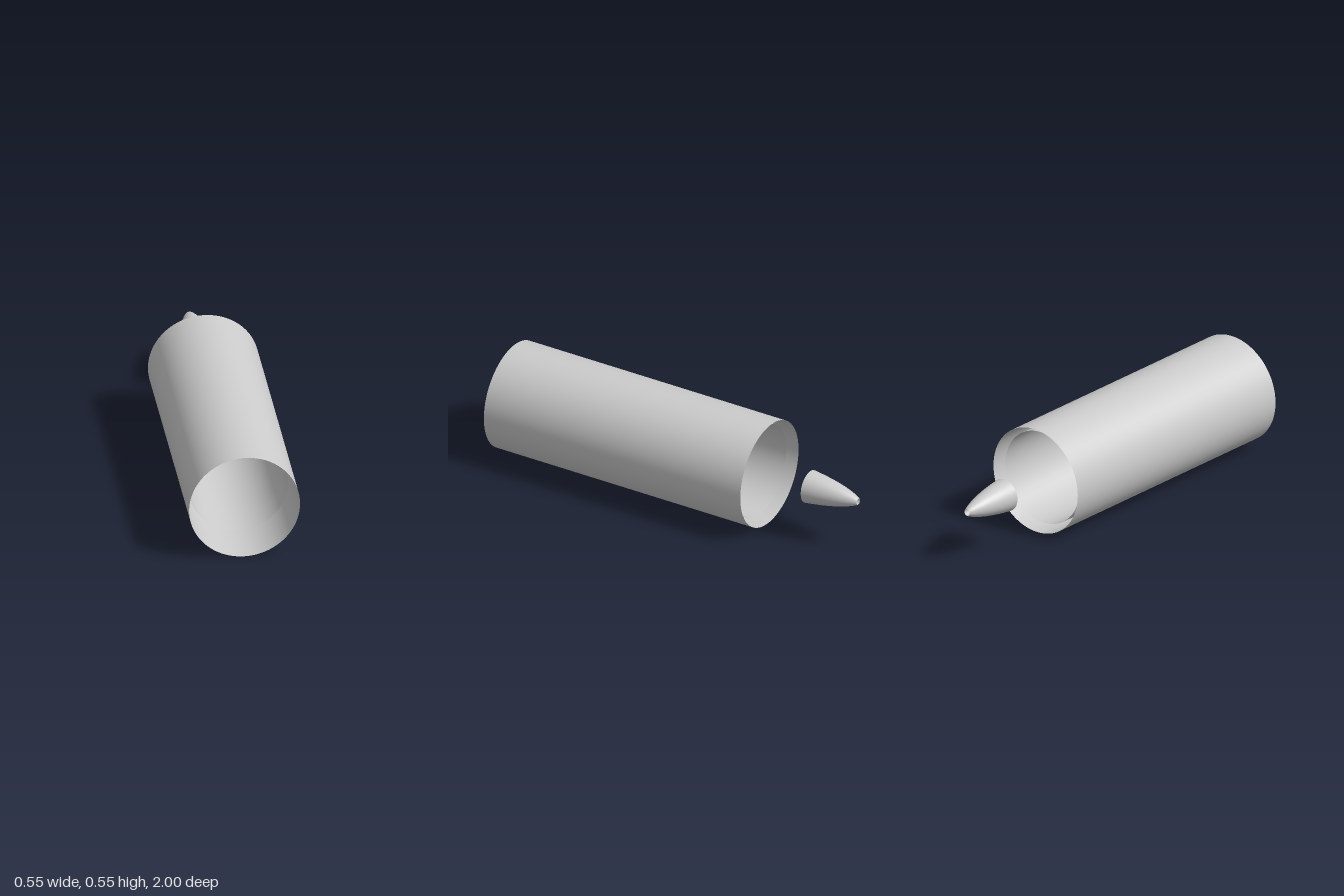
import * as THREE from 'three';

const AXIS_Y = 0.277;
const material = new THREE.MeshStandardMaterial({ color: 0xcccccc, side: THREE.DoubleSide });

// Thin shell turned about the z axis from [radius, z] points
function shell(name, points, segments = 96) {
  // Lathe's y axis is turned onto +z
  const geometry = new THREE.LatheGeometry(points.map(([r, z]) => new THREE.Vector2(r, z)), segments);
  geometry.rotateX(Math.PI / 2);
  const mesh = new THREE.Mesh(geometry, material);
  mesh.name = name;
  mesh.position.y = AXIS_Y;
  return mesh;
}

// Straight open tube between two z positions
const tube = (name, radius, back, front, segments) =>
  shell(name, [[radius, back], [radius, front]], segments);

export function createModel() {
  const model = new THREE.Group();
  model.name = 'ductedEngine';

  // Outer casing and the nested liners inside it
  model.add(tube('outerCasing', 0.277, -0.485, 1));
  model.add(tube('frontLiner', 0.248, 0.62, 0.78));
  model.add(tube('innerDuct', 0.243, -0.435, 0.64));

  // Hollow tail cone with a rounded, bullet-like profile
  const profile = new THREE.SplineCurve([
    [0.017, -1], [0.025, -0.985], [0.038, -0.95], [0.053, -0.9],
    [0.066, -0.84], [0.076, -0.78], [0.084, -0.717],
  ].map(([r, z]) => new THREE.Vector2(r, z)));
  const cone = new THREE.Group();
  cone.name = 'tailCone';
  cone.add(shell('coneShell', profile.getPoints(24).map((p) => [p.x, p.y]), 64));
  cone.add(tube('coneCollar', 0.068, -0.83, -0.73, 64));
  cone.add(tube('ventPipe', 0.0168, -0.998, -0.69, 32));
  model.add(cone);

  return model;
}
